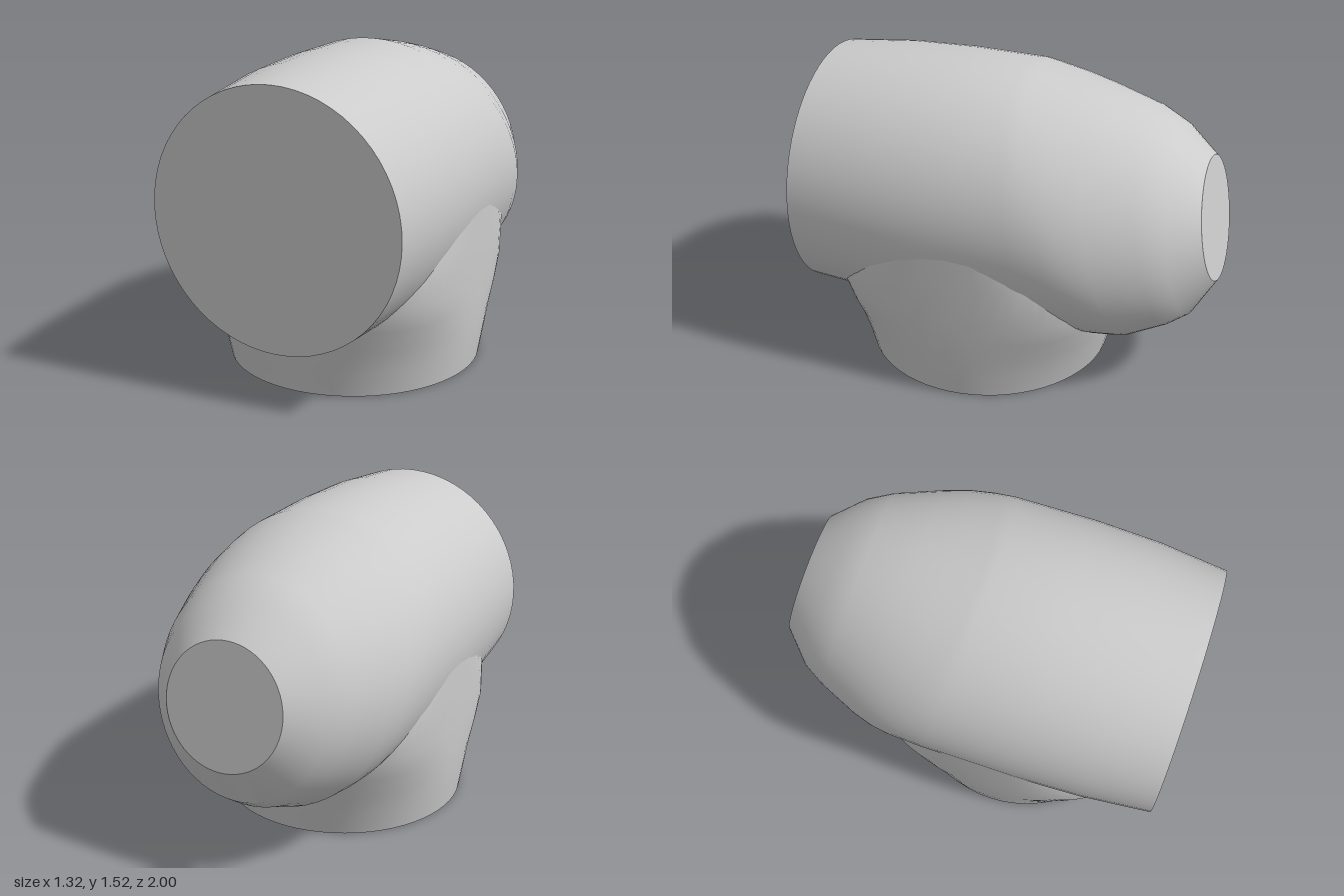
import * as THREE from 'three';
import { toCreasedNormals } from 'three/addons/utils/BufferGeometryUtils.js';

const SIDES = 64;

// Skins a list of closed rings and caps both ends with fans.
// Each ring runs counter-clockwise as seen from outside the first cap.
function loft(rings) {
  const points = rings.flat();
  const index = [];
  const ends = [rings[0], rings[rings.length - 1]];
  const hub = points.length;
  for (const ring of ends) {
    const c = new THREE.Vector3();
    ring.forEach((p) => c.add(p));
    points.push(c.divideScalar(SIDES));
  }
  const lastRow = (rings.length - 1) * SIDES;
  for (let j = 0; j < SIDES; j++) {
    const k = (j + 1) % SIDES;
    for (let i = 0; i < rings.length - 1; i++) {
      const a = i * SIDES, b = a + SIDES;
      index.push(a + j, b + j, a + k, a + k, b + j, b + k);
    }
    index.push(hub, j, k, hub + 1, lastRow + k, lastRow + j);
  }
  const geometry = new THREE.BufferGeometry().setFromPoints(points);
  geometry.setIndex(index);
  return toCreasedNormals(geometry, 0.42);
}

function ring(pointAt) {
  return Array.from({ length: SIDES }, (_, j) => {
    const a = (j / SIDES) * Math.PI * 2;
    return pointAt(Math.cos(a), Math.sin(a));
  });
}

// Tilted ellipse through a top and a bottom point
const bodyRing = ([zTop, yTop, zBottom, yBottom, halfWidth]) => ring((c, s) => {
  const t = (s + 1) / 2;
  return new THREE.Vector3(
    halfWidth * c,
    THREE.MathUtils.lerp(yBottom, yTop, t),
    THREE.MathUtils.lerp(zBottom, zTop, t));
});

// Level superellipse: an exponent of 2 is an ellipse, higher is squarer
const neckRing = ([y, z, halfWidth, halfDepth, exponent]) => ring((c, s) => {
  const bulge = (v) => Math.sign(v) * Math.abs(v) ** (2 / exponent);
  return new THREE.Vector3(halfWidth * bulge(c), y, z + halfDepth * bulge(s));
});

export function createModel() {
  const group = new THREE.Group();
  const material = new THREE.MeshStandardMaterial({ color: 0xcccccc });
  const add = (name, rings) => {
    const mesh = new THREE.Mesh(loft(rings), material);
    mesh.name = name;
    group.add(mesh);
  };

  // Horizontal barrel: open-end disc at the front, tapering to a small tilted disc
  add('barrel', [
    [1, 1.475, 1, 0.255, 0.61],
    [0.66, 1.51, 0.66, 0.235, 0.645],
    [0.35, 1.52, 0.3, 0.225, 0.658],
    [0, 1.515, -0.25, 0.22, 0.655],
    [-0.05, 1.505, -0.49, 0.22, 0.645],
    [-0.2, 1.475, -0.56, 0.225, 0.627],
    [-0.35, 1.44, -0.63, 0.23, 0.592],
    [-0.6, 1.37, -0.8, 0.31, 0.505],
    [-0.74, 1.3, -0.89, 0.375, 0.44],
    [-0.9, 1.165, -1, 0.57, 0.3],
  ].map(bodyRing));

  // Upright neck, squaring off as it blends into the barrel's sides
  add('neck', [
    [0, 0.197, 0.615, 0.617, 2],
    [0.12, 0.193, 0.632, 0.647, 2.05],
    [0.24, 0.19, 0.643, 0.677, 2.2],
    [0.35, 0.19, 0.648, 0.69, 2.6],
    [0.46, 0.19, 0.65, 0.7, 3],
    [0.65, 0.18, 0.652, 0.7, 3],
    [0.85, 0.18, 0.65, 0.5, 3],
  ].map(neckRing));

  return group;
}
